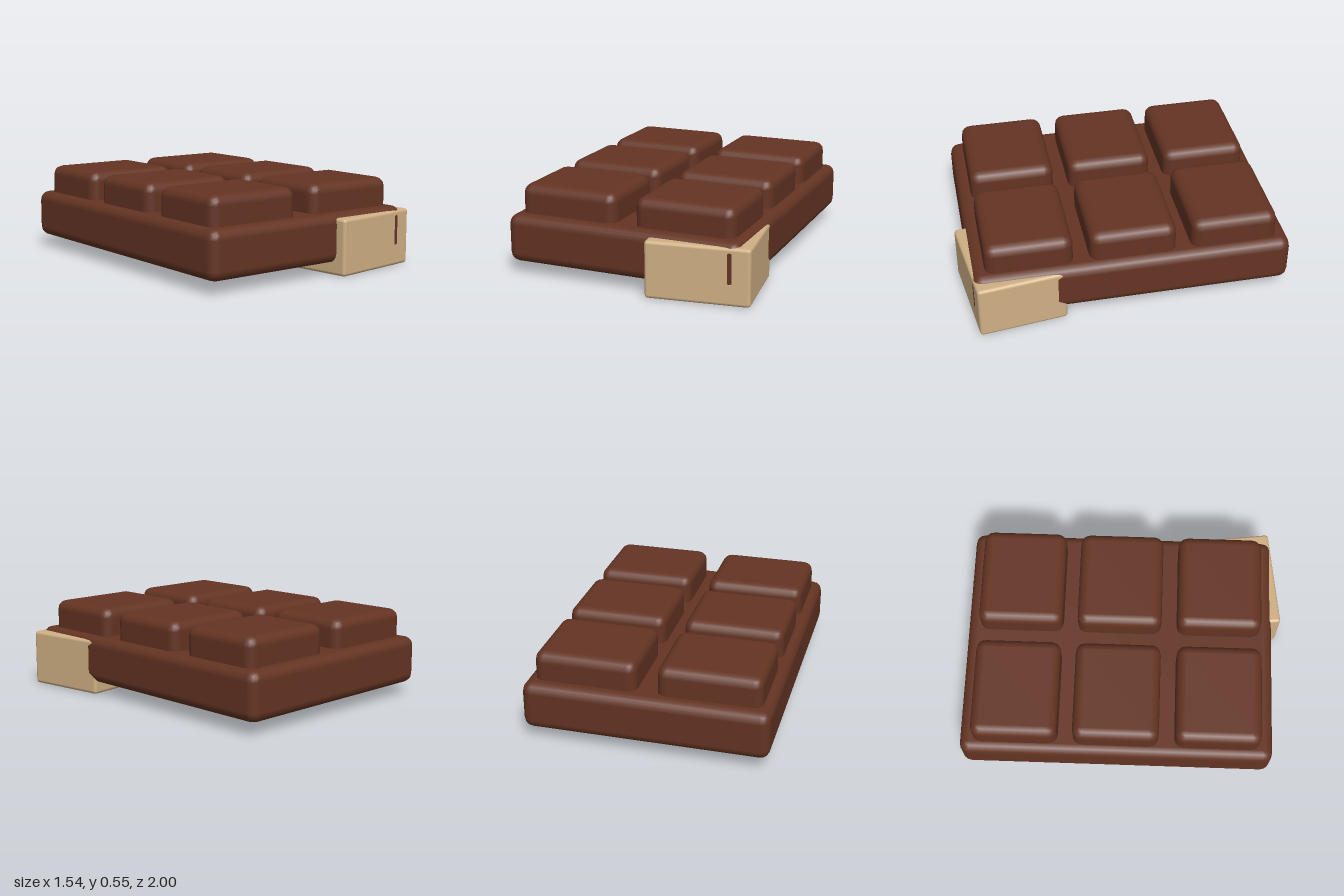
import * as THREE from 'three';
import { RoundedBoxGeometry } from 'three/addons/geometries/RoundedBoxGeometry.js';

const chocolate = new THREE.MeshStandardMaterial({ name: 'chocolate brown', color: 0x643423 });
const wrapperTan = new THREE.MeshStandardMaterial({ name: 'wrapper tan', color: 0xd0b084 });

// Rounded block given by its size and centre
function block(name, size, centre, radius, material) {
  const mesh = new THREE.Mesh(new RoundedBoxGeometry(...size, 2, radius), material);
  mesh.name = name;
  mesh.position.set(...centre);
  return mesh;
}

export function createModel() {
  const model = new THREE.Group();
  model.name = 'chocolateBar';

  // Slab under the squares
  model.add(block('slab', [1.48, 0.295, 1.94], [-0.03, 0.2225, -0.03], 0.06, chocolate));

  // Two columns of three raised squares
  const squares = new THREE.Group();
  squares.name = 'squares';
  for (const x of [-0.4, 0.34]) {
    for (const z of [-0.655, -0.033, 0.595]) {
      squares.add(block('square', [0.62, 0.295, 0.53], [x, 0.3975, z], 0.06, chocolate));
    }
  }
  model.add(squares);

  // Slightly twisted wrapper corner; the slab just breaks through its front
  const wrapper = block('wrapperCorner', [0.62, 0.345, 0.543], [0.43, 0.1725, 0.693], 0.02, wrapperTan);
  wrapper.rotation.y = 0.1274;
  model.add(wrapper);

  return model;
}
